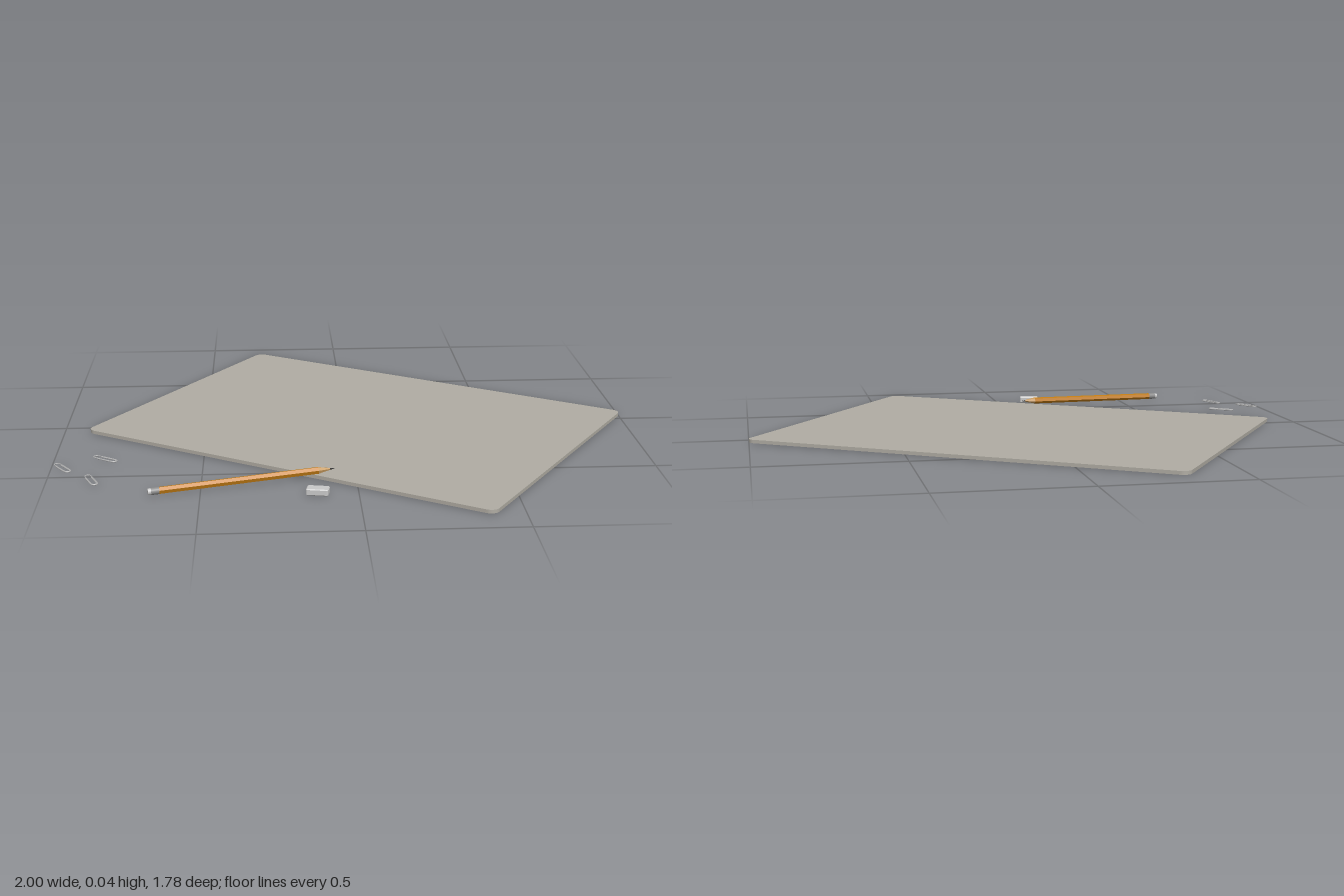
import * as THREE from 'three';

const mat = (name, color, extra = {}) => Object.assign(new THREE.MeshStandardMaterial({ color, ...extra }), { name });

// Rounded rectangle laid flat, resting on y = 0
function slab(w, d, r, h, bevel) {
  const x = w / 2 - bevel, y = d / 2 - bevel, s = new THREE.Shape();
  s.absarc(x - r, y - r, r, 0, Math.PI / 2);
  s.absarc(-x + r, y - r, r, Math.PI / 2, Math.PI);
  s.absarc(-x + r, -y + r, r, Math.PI, Math.PI * 1.5);
  s.absarc(x - r, -y + r, r, Math.PI * 1.5, Math.PI * 2);
  const g = new THREE.ExtrudeGeometry(s, {
    depth: h - 2 * bevel, curveSegments: 6, bevelEnabled: bevel > 0,
    bevelSize: bevel, bevelThickness: bevel, bevelSegments: 1,
  });
  return g.rotateX(-Math.PI / 2).translate(0, bevel, 0);
}

// Wire path of a paper clip, long axis along x
function clipGeometry() {
  const pts = [];
  const arc = (cx, cz, r, from, to) => {
    for (let i = 0; i <= 6; i++) {
      const a = from + (to - from) * i / 6;
      pts.push(new THREE.Vector3(cx + r * Math.cos(a), 0.003, cz + r * Math.sin(a)));
    }
  };
  const h = Math.PI / 2;
  pts.push(new THREE.Vector3(-0.02, 0.003, -0.008));
  arc(0.037, 0, 0.008, -h, h);
  arc(-0.038, -0.0015, 0.0095, h, 3 * h);
  arc(0.038, 0, 0.011, -h, h);
  pts.push(new THREE.Vector3(-0.022, 0.003, 0.011));
  return new THREE.TubeGeometry(new THREE.CatmullRomCurve3(pts, false, 'centripetal'), 90, 0.002, 6);
}

export function createModel() {
  const model = new THREE.Group();
  const boardMat = mat('warm grey board', 0xb0aca3);
  const paint = mat('orange paint', 0xc27c14, { flatShading: true });
  const wood = mat('bare wood', 0xc89a5c, { flatShading: true });
  const lead = mat('graphite', 0x2e2e2e);
  const metal = mat('metal', 0x8c8c8c);
  const rubber = mat('pale rubber', 0xc8c8c8);
  const wire = mat('steel wire', 0xb4b4b4);

  const add = (parent, name, geo, material) => {
    const m = new THREE.Mesh(geo, material);
    m.name = name;
    parent.add(m);
    return m;
  };

  // Drawing board
  const board = add(model, 'board', slab(1.573, 1.128, 0.03, 0.012, 0), boardMat);
  board.position.x = 0.045;
  board.rotation.y = -0.571;

  // Pencil, built along +y from its blunt end, then leaned on the board edge
  const pencil = new THREE.Group();
  pencil.name = 'pencil';
  const start = new THREE.Vector3(-0.664, 0.0125, 0.677);
  const dir = new THREE.Vector3(-0.07, 0.028, 0.54).sub(start);
  const length = dir.length();
  const R = 0.012;
  const rod = (name, r0, r1, y0, y1, sides, material) =>
    add(pencil, name, new THREE.CylinderGeometry(r1, r0, y1 - y0, sides).translate(0, (y0 + y1) / 2, 0), material);
  rod('pencilEraser', R * 0.85, R * 0.9, 0, 0.014, 16, rubber);
  rod('ferrule', R * 0.97, R * 0.97, 0.01, 0.036, 16, metal);
  rod('pencilBody', R, R, 0.036, length - 0.055, 6, paint);
  rod('sharpenedWood', R, R * 0.28, length - 0.055, length - 0.015, 6, wood);
  rod('pencilPoint', R * 0.28, 0.0004, length - 0.015, length, 8, lead);
  pencil.position.copy(start);
  pencil.quaternion.setFromUnitVectors(new THREE.Vector3(0, 1, 0), dir.normalize());
  model.add(pencil);

  // Block eraser
  const eraser = add(model, 'eraser', slab(0.072, 0.04, 0.003, 0.022, 0.003), rubber);
  eraser.position.set(-0.13, 0, 0.694);
  eraser.rotation.y = -0.2;

  // Paper clips: x, z, heading
  const clip = clipGeometry();
  [[-0.964, 0.415, -0.98], [-0.831, 0.336, -0.6], [-0.857, 0.535, -1.17]].forEach(([x, z, a]) => {
    const c = add(model, 'paperClip', clip, wire);
    c.position.set(x, 0, z);
    c.rotation.y = a;
  });
  return model;
}
